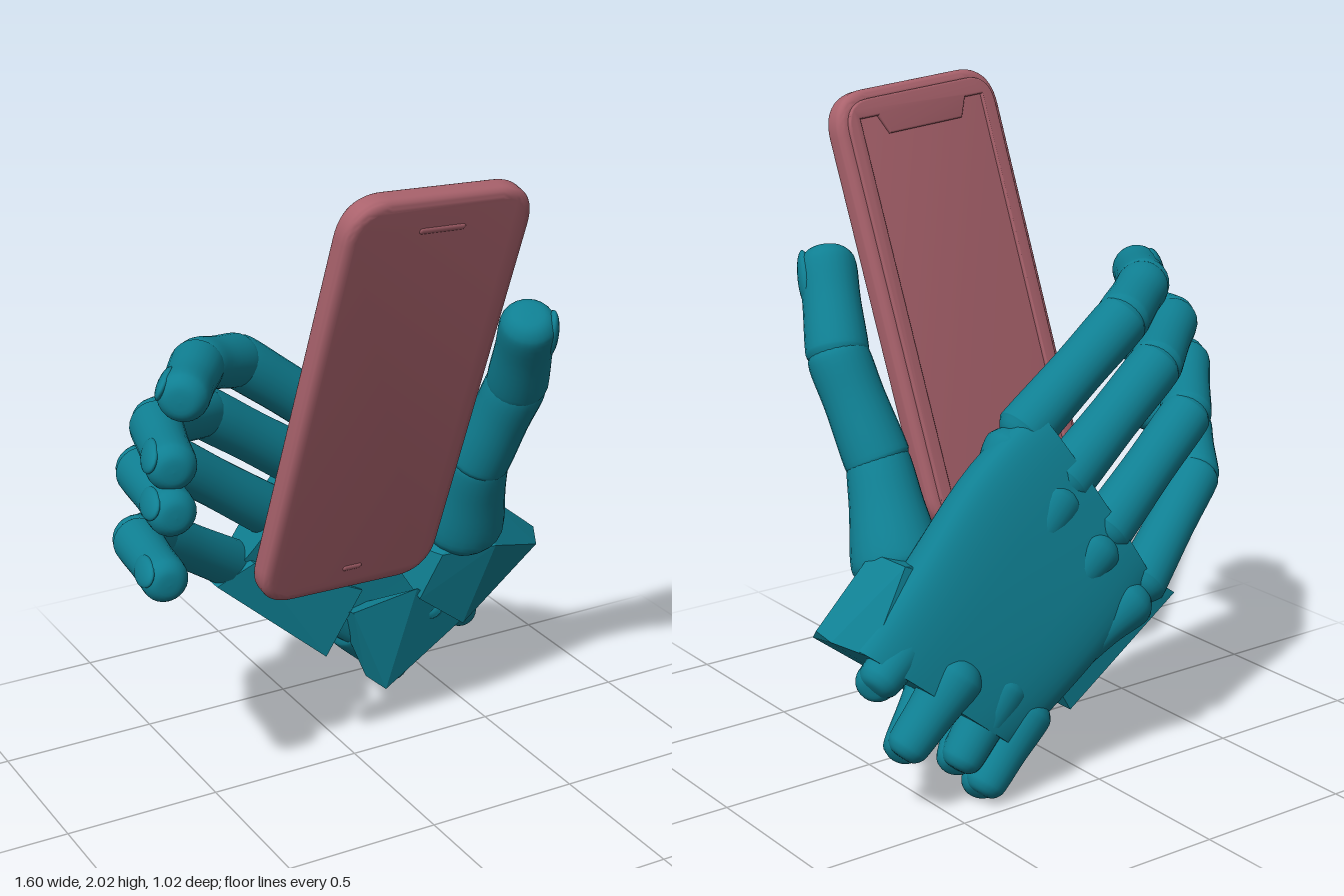
import * as THREE from 'three';
import { toCreasedNormals } from 'three/addons/utils/BufferGeometryUtils.js';
import { ConvexGeometry } from 'three/addons/geometries/ConvexGeometry.js';

const teal = new THREE.MeshStandardMaterial({ color: 0x0f7f92 });
const rose = new THREE.MeshStandardMaterial({ color: 0xa9626c });
const V = (p) => new THREE.Vector3(...p);
const Y = new THREE.Vector3(0, 1, 0);

function add(parent, name, geometry, material) {
  const mesh = new THREE.Mesh(geometry, material);
  mesh.name = name;
  parent.add(mesh);
  return mesh;
}

// Tapered, round-ended bone from a to b
function bone(parent, name, a, b, r0, r1) {
  const len = a.distanceTo(b);
  const pts = [[0, -r0 * 0.5], [r0 * 0.6, -r0 * 0.4], [r0 * 0.95, 0], [r0, r0 * 0.4],
    [(r0 + r1) * 0.48, len * 0.5], [r1, len - r1 * 0.8], [r1 * 0.88, len - r1 * 0.35],
    [r1 * 0.55, len - r1 * 0.06], [0, len]];
  const curve = new THREE.SplineCurve(pts.map((p) => new THREE.Vector2(...p)));
  const profile = curve.getPoints(28);
  profile.forEach((p) => { p.x = Math.max(p.x, 0); });
  const mesh = add(parent, name, new THREE.LatheGeometry(profile, 24), teal);
  mesh.position.copy(a);
  mesh.quaternion.setFromUnitVectors(Y, b.clone().sub(a).normalize());
}

// Chain of bones with a nail on the outer side of the last one
function digit(parent, name, path, radii, nailSide) {
  const g = new THREE.Group();
  g.name = name;
  const p = path.map(V);
  for (let i = 0; i < p.length - 1; i++) {
    const end = p[i + 1].clone();
    if (i < p.length - 2) end.addScaledVector(end.clone().sub(p[i]).normalize(), radii[i + 1] * 0.6);
    bone(g, name + 'Segment', p[i], end, radii[i], radii[i + 1]);
  }
  const tip = p[p.length - 1];
  const dir = tip.clone().sub(p[p.length - 2]).normalize();
  const out = V(nailSide);
  out.addScaledVector(dir, -out.dot(dir)).normalize();
  const r = radii[radii.length - 1];
  const nail = add(g, name + 'Nail', new THREE.SphereGeometry(1, 20, 12), teal);
  nail.scale.set(r * 0.62, r * 1.0, r * 0.25);
  nail.quaternion.setFromRotationMatrix(
    new THREE.Matrix4().makeBasis(dir.clone().cross(out), dir, out));
  nail.position.copy(tip).addScaledVector(dir, -r * 1.05).addScaledVector(out, r * 0.82);
  parent.add(g);
}

// Palm lofted between its thumb edge and its little-finger edge
function palmGeometry() {
  const edgeA = new THREE.CatmullRomCurve3(
    [[0.74, 0.51, -0.28], [0.55, 0.69, -0.275], [0.3, 0.95, -0.26], [0.08, 1.1, -0.25]].map(V));
  const edgeB = new THREE.CatmullRomCurve3(
    [[0.26, 0.12, -0.385], [0.08, 0.25, -0.405], [-0.1, 0.4, -0.42], [-0.24, 0.54, -0.415]].map(V));
  const rows = 16, cols = 40, pos = [], index = [];
  const normal = V([-0.12, -0.14, 1]).normalize();
  for (let i = -1; i <= rows + 1; i++) {
    const t = Math.min(Math.max(i / rows, 0), 1);
    const a = edgeA.getPoint(t), b = edgeB.getPoint(t);
    const mid = a.clone().add(b).multiplyScalar(0.5);
    const half = a.sub(b).multiplyScalar(0.5);
    const h = 0.112 - 0.03 * t, k = i < 0 || i > rows ? 0 : 1;
    for (let j = 0; j <= cols; j++) {
      const ang = (j / cols) * Math.PI * 2;
      const c = Math.cos(ang), s = Math.sin(ang);
      const q = mid.clone()
        .addScaledVector(half, k * Math.sign(c) * Math.abs(c) ** 0.6)
        .addScaledVector(normal, k * h * Math.sign(s) * Math.abs(s) ** 0.6);
      pos.push(q.x, q.y, q.z);
    }
  }
  const w = cols + 1;
  for (let i = 0; i < rows + 2; i++) {
    for (let j = 0; j < cols; j++) {
      const a = i * w + j;
      index.push(a, a + w, a + 1, a + 1, a + w, a + w + 1);
    }
  }
  const geo = new THREE.BufferGeometry();
  geo.setAttribute('position', new THREE.Float32BufferAttribute(pos, 3));
  geo.setIndex(index);
  return toCreasedNormals(geo, 0.7);
}

function roundRect(w, h, r) {
  const s = new THREE.Shape(), x = w / 2, y = h / 2;
  s.moveTo(-x + r, -y).lineTo(x - r, -y).quadraticCurveTo(x, -y, x, -y + r);
  s.lineTo(x, y - r).quadraticCurveTo(x, y, x - r, y);
  s.lineTo(-x + r, y).quadraticCurveTo(-x, y, -x, y - r);
  s.lineTo(-x, -y + r).quadraticCurveTo(-x, -y, -x + r, -y);
  return s;
}

function buildPhone() {
  const phone = new THREE.Group();
  phone.name = 'phone';
  const body = new THREE.ExtrudeGeometry(roundRect(0.58, 1.325, 0.1), {
    depth: 0.03, bevelThickness: 0.025, bevelSize: 0.03, bevelSegments: 6, curveSegments: 12 });
  add(phone, 'phoneBody', toCreasedNormals(body.translate(0, 0, -0.015), 0.6), rose);
  // Raised rim around the screen, with the sensor notch at the top
  const rim = roundRect(0.57, 1.31, 0.09);
  const hole = new THREE.Path();
  hole.moveTo(-0.25, -0.61).lineTo(0.25, -0.61).lineTo(0.25, 0.61).lineTo(0.17, 0.61);
  hole.lineTo(0.14, 0.55).lineTo(-0.14, 0.55).lineTo(-0.17, 0.61).lineTo(-0.25, 0.61).lineTo(-0.25, -0.61);
  rim.holes.push(hole);
  const rimGeo = new THREE.ExtrudeGeometry(rim, {
    depth: 0.005, bevelThickness: 0.005, bevelSize: 0.006, bevelSegments: 3 });
  add(phone, 'screenRim', toCreasedNormals(rimGeo, 0.6), rose).position.z = -0.047;
  // Small ridges on the outer face
  const ridge = (name, y, len) => {
    const m = add(phone, name, new THREE.CapsuleGeometry(0.01, len, 6, 12), rose);
    m.rotation.z = Math.PI / 2;
    m.scale.z = 0.6;
    m.position.set(0, y, 0.038);
  };
  ridge('upperSlot', 0.59, 0.14);
  ridge('lowerSlot', -0.6, 0.05);
  // Tilted: leaning forward at the top and slightly rolled
  const up = V([0.12, 1.3, 0.37]).normalize();
  const right = V([0.62, -0.05, -0.06]);
  right.addScaledVector(up, -right.dot(up)).normalize();
  phone.quaternion.setFromRotationMatrix(
    new THREE.Matrix4().makeBasis(right, up, right.clone().cross(up)));
  phone.position.set(-0.042, 1.315, 0.275);
  return phone;
}

export function createModel() {
  const model = new THREE.Group();
  const hand = new THREE.Group();
  hand.name = 'hand';
  model.add(hand, buildPhone());
  add(hand, 'palm', palmGeometry(), teal);

  // Per finger: joints, radii, wrist prong tip, its back root and its front root
  const fingers = [
    ['indexFinger', [[0.1, 1.02, -0.24], [-0.28, 1.31, -0.235], [-0.47, 1.37, -0.11], [-0.645, 1.365, 0.14]],
      [0.086, 0.084, 0.082, 0.078], [0.72, 0.4, -0.36], [0.46, 0.58, -0.3], [0.52, 0.45, -0.19]],
    ['middleFinger', [[0.01, 0.87, -0.32], [-0.39, 1.155, -0.265], [-0.63, 1.225, -0.07], [-0.725, 1.21, 0.26]],
      [0.087, 0.083, 0.079, 0.075], [0.64, 0.18, -0.38], [0.44, 0.4, -0.39], [0.37, 0.36, -0.16]],
    ['ringFinger', [[-0.1, 0.71, -0.38], [-0.48, 0.995, -0.31], [-0.68, 1.085, -0.08], [-0.735, 1.085, 0.29]],
      [0.084, 0.08, 0.076, 0.073], [0.46, 0.1, -0.4], [0.28, 0.33, -0.39], [0.31, 0.23, -0.23]],
    ['littleFinger', [[-0.21, 0.53, -0.42], [-0.555, 0.775, -0.275], [-0.705, 0.87, -0.07], [-0.745, 0.86, 0.25]],
      [0.08, 0.077, 0.074, 0.07], [0.39, 0.01, -0.42], [0.2, 0.23, -0.4], [0.26, 0.13, -0.3]],
  ];
  for (const [name, path, radii, prong, root, frontRoot] of fingers) {
    digit(hand, name, path, radii, [-0.8, 0.35, -0.3]);
    const knuckle = V(path[0]);
    const heel = V(root);
    bone(hand, 'knuckleRidge', heel.clone().lerp(knuckle, 0.3), knuckle, 0.05, 0.09);
    bone(hand, 'wristProng', heel, V(prong), 0.085, 0.065);
    bone(hand, 'wristProngFront', V(frontRoot), V(prong), 0.05, 0.06);
  }

  // Thumb
  digit(hand, 'thumb',
    [[0.47, 0.64, -0.13], [0.435, 0.93, 0.02], [0.475, 1.23, 0.17], [0.4, 1.52, 0.345]],
    [0.135, 0.1, 0.095, 0.088], [0.5, 0.3, 0.5]);

  // Faceted pads over the thumb root, heel and outer edge of the palm
  const pads = [
    ['thumbRootPad', [[0.2, 0.63, -0.25], [0.36, 0.58, -0.06], [0.57, 0.72, -0.14], [0.79, 0.54, -0.18],
      [0.77, 0.5, -0.13], [0.48, 0.28, -0.12], [0.3, 0.42, -0.1], [0.79, 0.53, -0.26], [0.45, 0.3, -0.35],
      [0.56, 0.72, -0.3], [0.3, 0.6, -0.33], [0.55, 0.58, -0.04], [0.72, 0.5, -0.36]]],
    ['heelPad', [[0.12, 0.36, -0.22], [0.29, 0.46, -0.1], [0.5, 0.3, -0.13], [0.25, 0.04, -0.23],
      [0.2, 0.08, -0.28], [0.28, 0.06, -0.36], [0.5, 0.3, -0.36], [0.14, 0.3, -0.38]]],
    ['outerEdgePad', [[-0.31, 0.5, -0.35], [-0.2, 0.58, -0.3], [0.17, 0.42, -0.25], [0.05, 0.19, -0.28],
      [0.05, 0.19, -0.42], [0.17, 0.4, -0.42], [-0.31, 0.5, -0.47], [-0.2, 0.58, -0.46]]],
  ];
  for (const [name, pts] of pads) add(hand, name, new ConvexGeometry(pts.map(V)), teal);
  return model;
}
